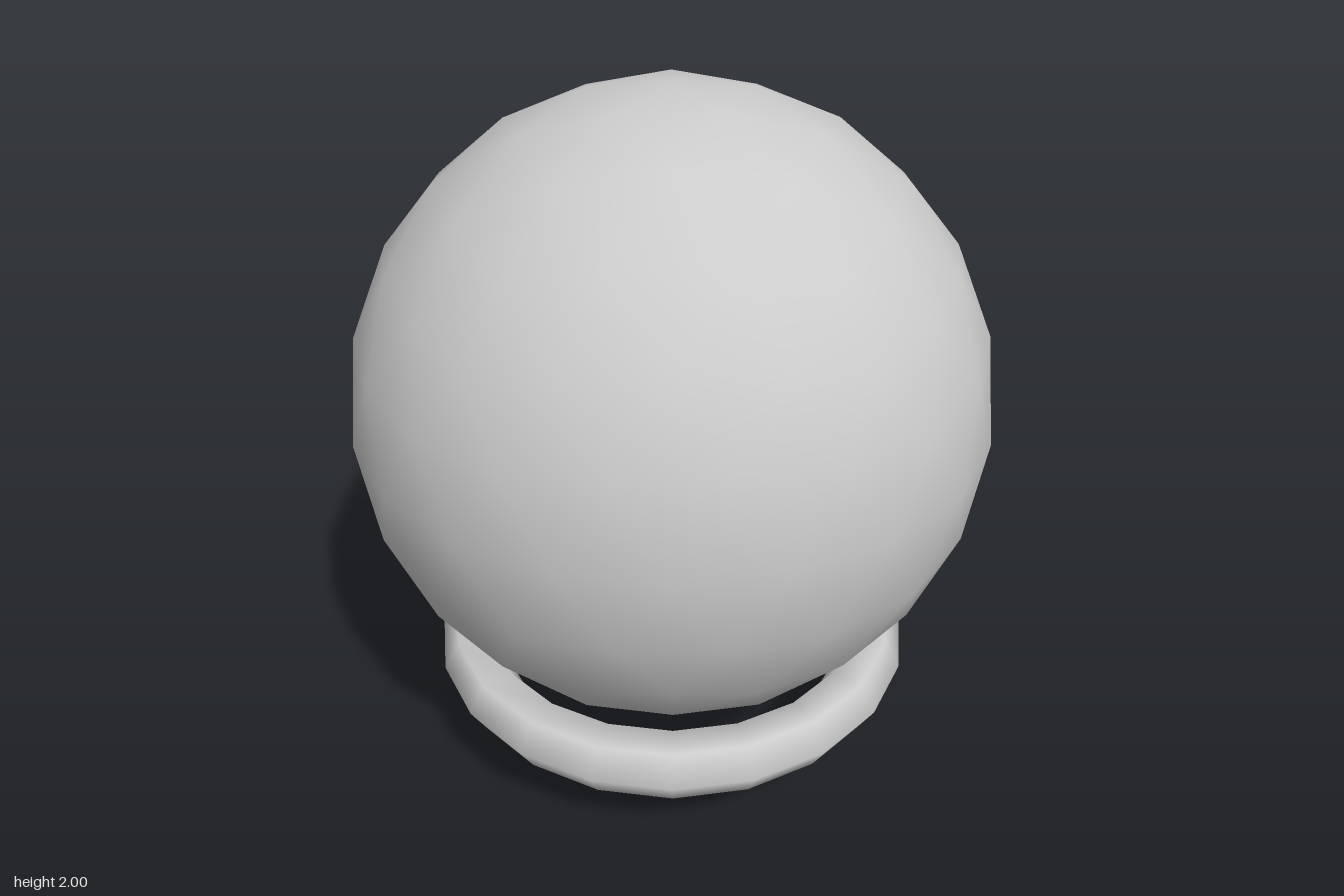
import * as THREE from 'three';

const material = new THREE.MeshStandardMaterial({ color: 0xcccccc });

function add(group, name, geometry, y) {
  const mesh = new THREE.Mesh(geometry, material);
  mesh.name = name;
  mesh.position.y = y;
  group.add(mesh);
}

// Smooth-shaded icosphere turned so that one corner points straight up
function icoBall(radius, detail) {
  const tilt = Math.atan(2 / (1 + Math.sqrt(5)));
  return new THREE.IcosahedronGeometry(radius, detail).rotateZ(-tilt);
}

export function createModel() {
  const group = new THREE.Group();
  group.name = 'ballWithRing';

  // Large ball
  add(group, 'ball', icoBall(0.88, 3), 1.12);

  // Six-sided ring around the underside of the ball
  const ring = new THREE.TorusGeometry(0.617, 0.092, 6, 20).rotateX(Math.PI / 2);
  add(group, 'ring', ring, 0.318);

  // Small knob sunk into the bottom of the ball
  add(group, 'knob', icoBall(0.231, 1), 0.231);

  return group;
}
